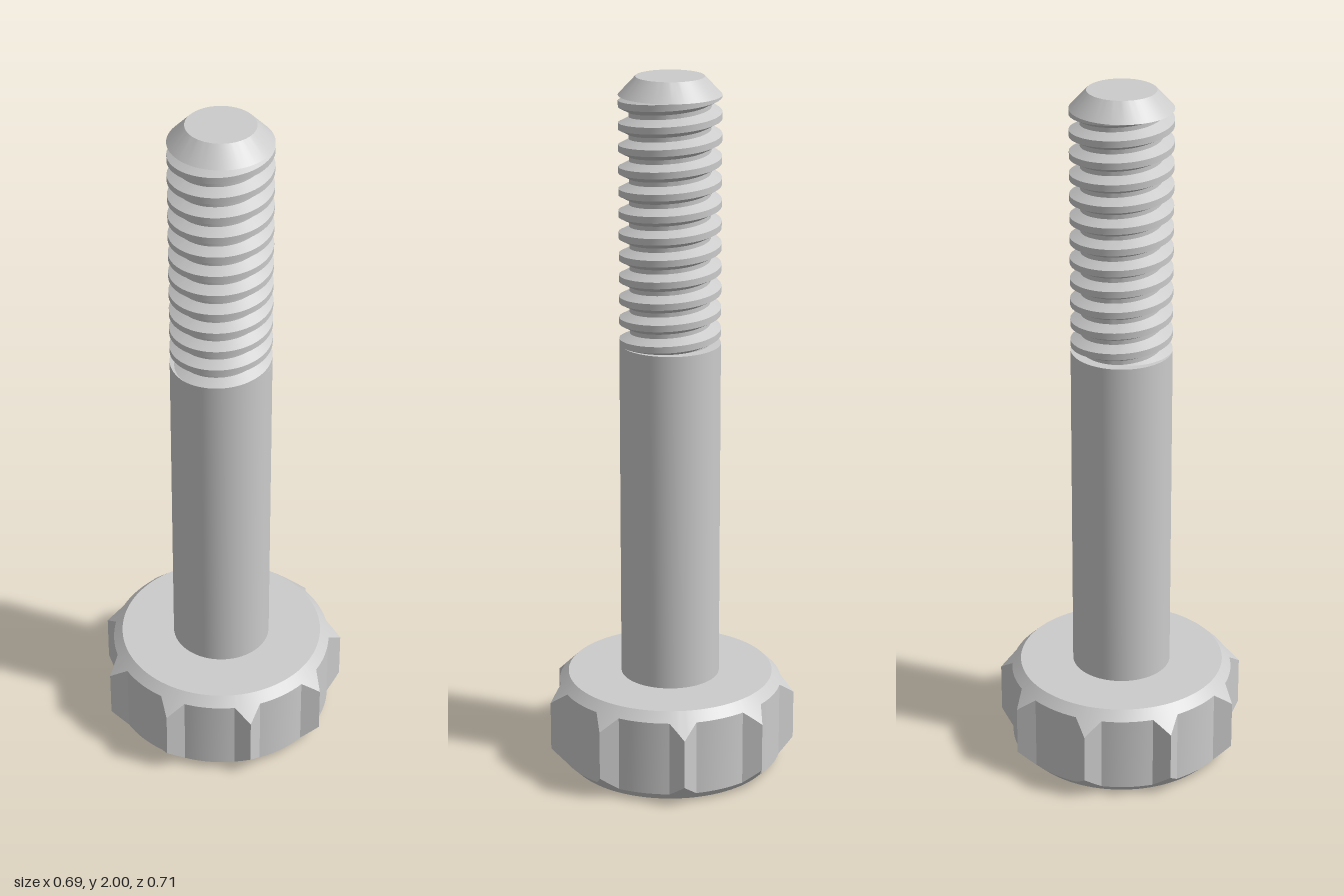
import * as THREE from 'three';
import { toCreasedNormals } from 'three/addons/utils/BufferGeometryUtils.js';

const AXIS_X = -0.011;
const SHANK_R = 0.141, ROOT_R = 0.112;
const HEAD_H = 0.27, HEAD_FACE_R = 0.294, HEAD_R = 0.32, TOOTH_R = 0.358, TEETH = 9;
const THREAD_Y0 = 1.255, THREAD_Y1 = 1.95, PITCH = 0.0605;

const material = new THREE.MeshStandardMaterial({ color: 0xcccccc });

// Point at angle a around the axis (0 = front, a quarter turn = +x)
const polar = (r, a, y) => new THREE.Vector3(r * Math.sin(a), y, r * Math.cos(a));

// Skin stacked rows of points, dropping collapsed triangles
function skin(rows, crease = 0.5) {
  const pos = [];
  const tri = (a, b, c) => {
    const area = b.clone().sub(a).cross(c.clone().sub(a)).length();
    if (area > 1e-9) for (const p of [a, b, c]) pos.push(p.x, p.y, p.z);
  };
  for (let i = 0; i < rows.length - 1; i++) {
    for (let j = 0; j < rows[i].length - 1; j++) {
      const a = rows[i][j], b = rows[i][j + 1], c = rows[i + 1][j + 1], d = rows[i + 1][j];
      tri(a, b, c);
      tri(a, c, d);
    }
  }
  const g = new THREE.BufferGeometry();
  g.setAttribute('position', new THREE.Float32BufferAttribute(pos, 3));
  return toCreasedNormals(g, crease);
}

// Solid of revolution from a bottom-to-top profile
function turned(profile) {
  const points = profile.map(([r, y]) => new THREE.Vector2(r, y));
  return toCreasedNormals(new THREE.LatheGeometry(points, 72), 0.5);
}

// Outline of the toothed head as [radius, angle] pairs
function headOutline() {
  const out = [], step = (2 * Math.PI) / TEETH, half = 0.119;
  const base = [HEAD_R * Math.cos(half), HEAD_R * Math.sin(half)];
  for (let k = 0; k < TEETH; k++) {
    const centre = Math.PI / 2 + k * step;
    // straight-sided tooth
    for (let i = -4; i <= 4; i++) {
      const t = Math.abs(i) / 4;
      const u = TOOTH_R + (base[0] - TOOTH_R) * t, w = base[1] * t * Math.sign(i);
      out.push([Math.hypot(u, w), centre + Math.atan2(w, u)]);
    }
    // arc to the next tooth
    for (let i = 1; i < 8; i++) out.push([HEAD_R, centre + half + ((step - 2 * half) * i) / 8]);
  }
  out.push([out[0][0], out[0][1] + 2 * Math.PI]);
  return out;
}

// Head: both rims are cut by 45 degree cones, so the teeth are chamfered too
function headGeometry() {
  const o = headOutline();
  const ring = (fr, fy) => o.map(([r, a]) => polar(fr(r), a, fy(r)));
  return skin([
    ring(() => 0, () => 0),
    ring(() => HEAD_FACE_R, () => 0),
    ring(r => r, r => r - HEAD_FACE_R),
    ring(r => r, r => HEAD_H - (r - HEAD_FACE_R)),
    ring(() => HEAD_FACE_R, () => HEAD_H),
    ring(() => 0, () => HEAD_H),
  ], 0.4);
}

// Thread profile over one pitch: flank, root, flank, flat crest
function threadRadius(v) {
  const f = v - Math.floor(v), depth = SHANK_R - ROOT_R;
  if (f < 0.25) return SHANK_R - depth * (f / 0.25);
  if (f < 0.45) return ROOT_R;
  if (f < 0.7) return ROOT_R + depth * ((f - 0.45) / 0.25);
  return SHANK_R;
}

// Right-handed helical thread, cut flat at both ends
function threadGeometry() {
  const rows = [], seg = 72;
  const turns = Math.ceil((THREAD_Y1 - THREAD_Y0) / PITCH);
  for (let k = -2; k <= turns; k++) {
    for (const v of [0, 0.25, 0.45, 0.7]) {
      const row = [];
      for (let j = 0; j <= seg; j++) {
        const turn = j / seg;
        const y = THREE.MathUtils.clamp(THREAD_Y0 + PITCH * (turn + k + v), THREAD_Y0, THREAD_Y1);
        const r = threadRadius((y - THREAD_Y0) / PITCH - turn + 1e-9);
        row.push(polar(r, 2 * Math.PI * turn - Math.PI / 2, y));
      }
      rows.push(row);
    }
  }
  return skin(rows);
}

export function createModel() {
  const model = new THREE.Group();
  model.name = 'thumbScrew';
  const add = (name, geometry) => {
    const mesh = new THREE.Mesh(geometry, material);
    mesh.name = name;
    mesh.position.x = AXIS_X;
    model.add(mesh);
  };

  add('knurledHead', headGeometry());
  add('shank', turned([[SHANK_R, HEAD_H], [SHANK_R, THREAD_Y0], [0, THREAD_Y0]]));
  add('thread', threadGeometry());
  // Chamfered end of the screw
  add('tip', turned([[0, THREAD_Y1], [SHANK_R, THREAD_Y1], [0.094, 2], [0, 2]]));
  return model;
}
